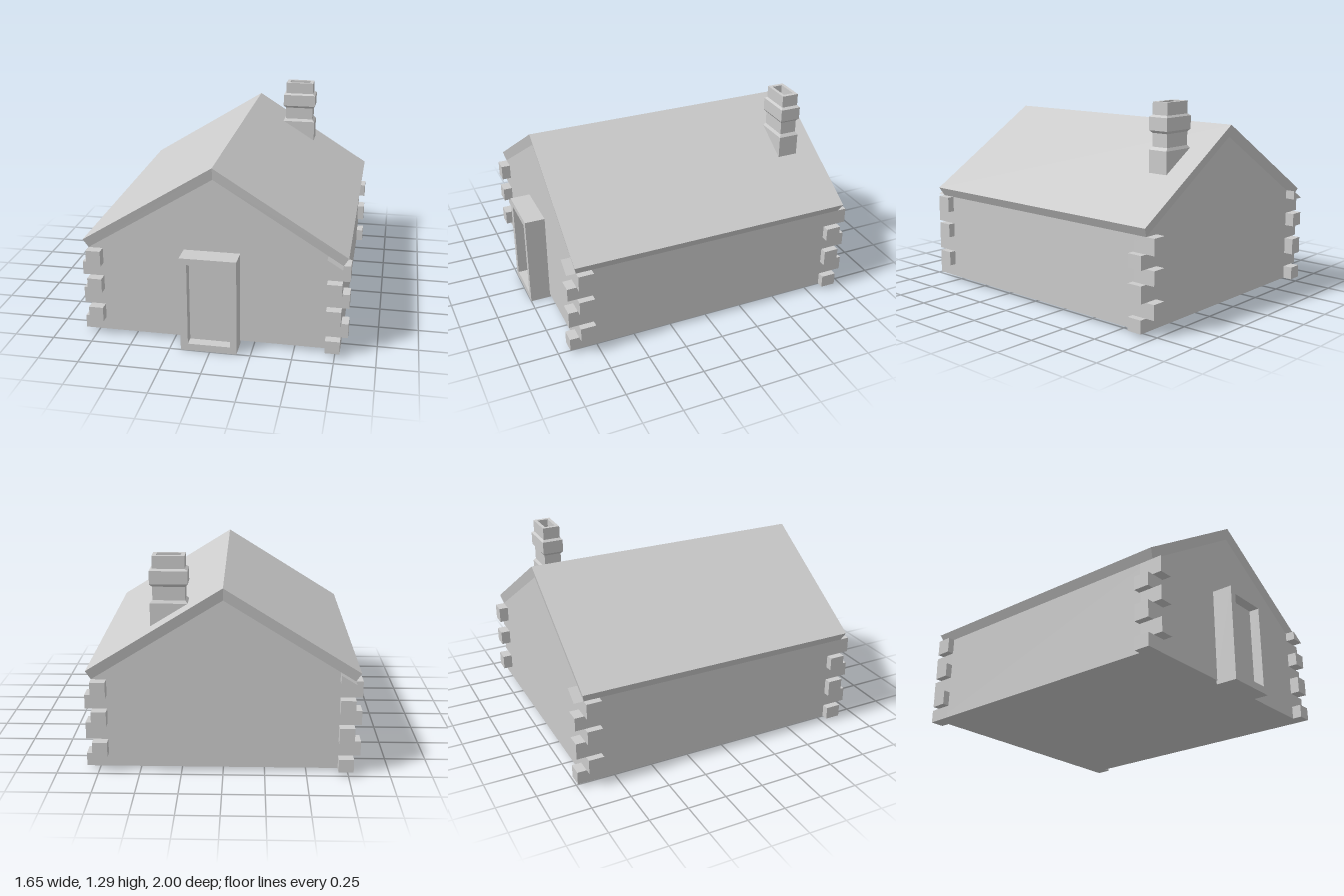
import * as THREE from 'three';

const material = new THREE.MeshStandardMaterial({ color: 0xcccccc, flatShading: true });
const FRONT = 0.87, BACK = -0.94, SIDE = 0.78, FLOOR = 0.025;

function add(parent, name, geometry) {
  const mesh = new THREE.Mesh(geometry, material);
  mesh.name = name;
  parent.add(mesh);
  return mesh;
}

// Box given by its limits on each axis
function block(x0, x1, y0, y1, z0, z1) {
  return new THREE.BoxGeometry(x1 - x0, y1 - y0, z1 - z0)
    .translate((x0 + x1) / 2, (y0 + y1) / 2, (z0 + z1) / 2);
}

// Outline in x and y, extruded from z0 to z1
function prism(points, z0, z1, hole) {
  const shape = new THREE.Shape(points.map(p => new THREE.Vector2(...p)));
  if (hole) shape.holes.push(new THREE.Path(hole.map(p => new THREE.Vector2(...p))));
  return new THREE.ExtrudeGeometry(shape, { depth: z1 - z0, bevelEnabled: false }).translate(0, 0, z0);
}

const rect = (x0, x1, y0, y1) => [[x0, y0], [x1, y0], [x1, y1], [x0, y1]];

// Chevron roof whose gable edges slope inwards towards the underside
function roofGeometry() {
  const g = prism([[-0.81, 0.635], [-SIDE, 0.58], [0, 1.065], [SIDE, 0.58], [0.81, 0.635], [0, 1.14]], BACK, FRONT);
  const p = g.attributes.position;
  for (let i = 0; i < p.count; i++) {
    const outer = p.getY(i) > 1.1 || Math.abs(p.getX(i)) > 0.8;
    if (outer) p.setZ(i, p.getZ(i) + Math.sign(p.getZ(i)) * 0.015);
  }
  g.computeVertexNormals();
  return g;
}

// Rectangular stack of rings [halfWidth, y, halfDepth], ending in a sunken flue
function stackGeometry(rings) {
  const positions = [], index = [];
  for (const [w, y, d] of rings) positions.push(-w, y, d, w, y, d, w, y, -d, -w, y, -d);
  for (let r = 0; r < rings.length - 1; r++) {
    for (let i = 0; i < 4; i++) {
      const a = r * 4 + i, b = r * 4 + (i + 1) % 4;
      index.push(a, b, b + 4, a, b + 4, a + 4);
    }
  }
  const e = (rings.length - 1) * 4;
  index.push(e, e + 1, e + 2, e, e + 2, e + 3);
  const g = new THREE.BufferGeometry();
  g.setAttribute('position', new THREE.Float32BufferAttribute(positions, 3));
  g.setIndex(index);
  const flat = g.toNonIndexed();
  flat.computeVertexNormals();
  return flat;
}

// Alternating log ends at one corner; sx and sz choose the corner
function cornerLogs(sx, sz) {
  const group = new THREE.Group();
  group.name = (sz > 0 ? 'front' : 'back') + (sx > 0 ? 'Left' : 'Right') + 'CornerLogs';
  const levels = [FLOOR, 0.107, 0.2, 0.305, 0.395, 0.48, 0.58];
  const wall = sz > 0 ? FRONT : BACK;
  const zFirst = sx * sz > 0;
  const span = (a, b) => [Math.min(a, b), Math.max(a, b)];
  for (let i = 0; i < 6; i++) {
    const y = [levels[i], levels[i + 1]];
    if ((i % 2 === 0) === zFirst) {
      add(group, 'lengthwiseLog', block(...span(sx * 0.69, sx * SIDE), ...y, ...span(wall - sz * 0.09, wall + sz * 0.06)));
    } else {
      add(group, 'crosswiseLog', block(...span(sx * 0.69, sx * 0.824), ...y, ...span(wall, wall - sz * 0.098)));
    }
  }
  // Topmost log is cut along the slope of the roof
  if (zFirst) {
    add(group, 'cutLog', prism([[sx * 0.688, 0.58], [sx * SIDE, 0.58], [sx * 0.688, 0.637]],
      ...span(wall - sz * 0.09, wall + sz * 0.06)));
  }
  return group;
}

export function createModel() {
  const cabin = new THREE.Group();
  cabin.name = 'cabin';

  // Walls with gables
  add(cabin, 'walls', prism([[-SIDE, FLOOR], [SIDE, FLOOR], [SIDE, 0.58], [0, 1.065], [-SIDE, 0.58]], BACK, FRONT));
  add(cabin, 'roof', roofGeometry());

  // Corner joints
  for (const sx of [-1, 1]) for (const sz of [-1, 1]) cabin.add(cornerLogs(sx, sz));

  // Door with a raised frame
  const door = new THREE.Group();
  door.name = 'door';
  add(door, 'doorFrame', prism(rect(-0.18, 0.165, 0, 0.61), 0.865, 1, rect(-0.135, 0.125, 0.045, 0.57)));
  add(door, 'doorPanel', block(-0.135, 0.125, 0.045, 0.57, 0.865, 0.935));
  cabin.add(door);

  // Chimney with a collar and an open flue
  const chimney = add(cabin, 'chimney', stackGeometry([
    [0.113, 0.8, 0.066], [0.113, 1.007, 0.066], [0.097, 1.025, 0.055], [0.097, 1.107, 0.055],
    [0.114, 1.123, 0.067], [0.114, 1.203, 0.067], [0.097, 1.215, 0.055], [0.097, 1.292, 0.055],
    [0.072, 1.292, 0.034], [0.072, 1.21, 0.034],
  ]));
  chimney.position.set(0.324, 0, -0.738);

  return cabin;
}
